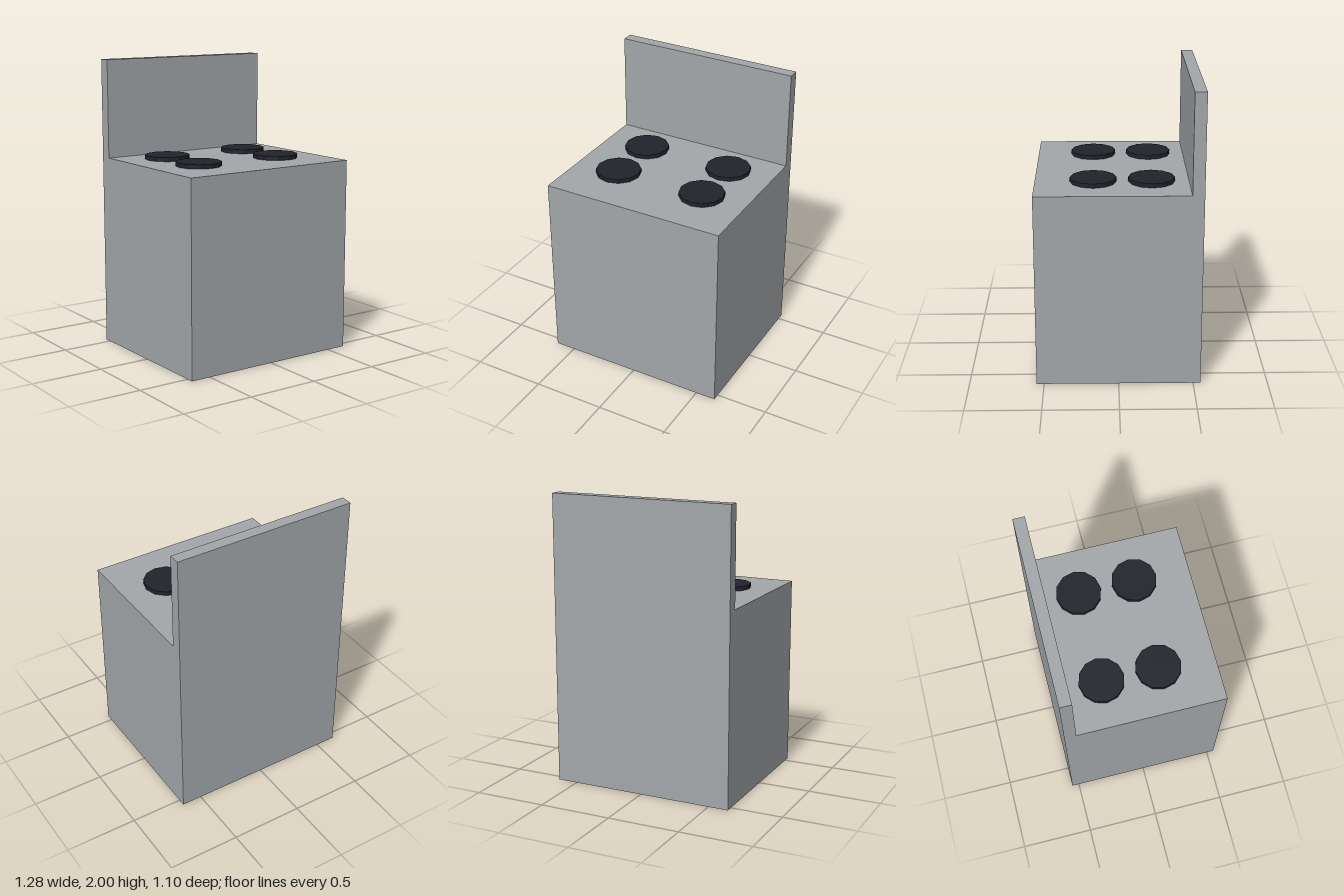
import * as THREE from 'three';

export function createModel() {
  const group = new THREE.Group();
  const enamel = new THREE.MeshStandardMaterial({ color: 0xa3a7aa });
  enamel.name = 'greyEnamel';
  const iron = new THREE.MeshStandardMaterial({ color: 0x22222c });
  iron.name = 'darkIron';

  const halfWidth = 0.64, halfDepth = 0.55, panelFront = -0.47, cooktop = 1.324;

  // Stove body and backsplash: one L-shaped side profile (z, y) swept across x
  const profile = new THREE.Shape([
    [-halfDepth, 0], [halfDepth, 0], [halfDepth, cooktop],
    [panelFront, cooktop], [panelFront, 2], [-halfDepth, 2],
  ].map(([z, y]) => new THREE.Vector2(z, y)));
  const bodyGeometry = new THREE.ExtrudeGeometry(profile, { depth: 2 * halfWidth, bevelEnabled: false });
  bodyGeometry.rotateY(-Math.PI / 2).translate(halfWidth, 0, 0);
  const body = new THREE.Mesh(bodyGeometry, enamel);
  body.name = 'bodyWithBacksplash';
  group.add(body);

  // Four low-poly burners
  const burnerHeight = 0.029;
  const burnerGeometry = new THREE.CylinderGeometry(0.154, 0.154, burnerHeight, 12).toNonIndexed();
  burnerGeometry.computeVertexNormals();
  for (const [row, z] of [['front', 0.164], ['rear', -0.222]]) {
    for (const [side, x] of [['Left', 0.32], ['Right', -0.32]]) {
      const burner = new THREE.Mesh(burnerGeometry, iron);
      burner.name = `${row}${side}Burner`;
      burner.position.set(x, cooktop + burnerHeight / 2, z);
      group.add(burner);
    }
  }
  return group;
}
